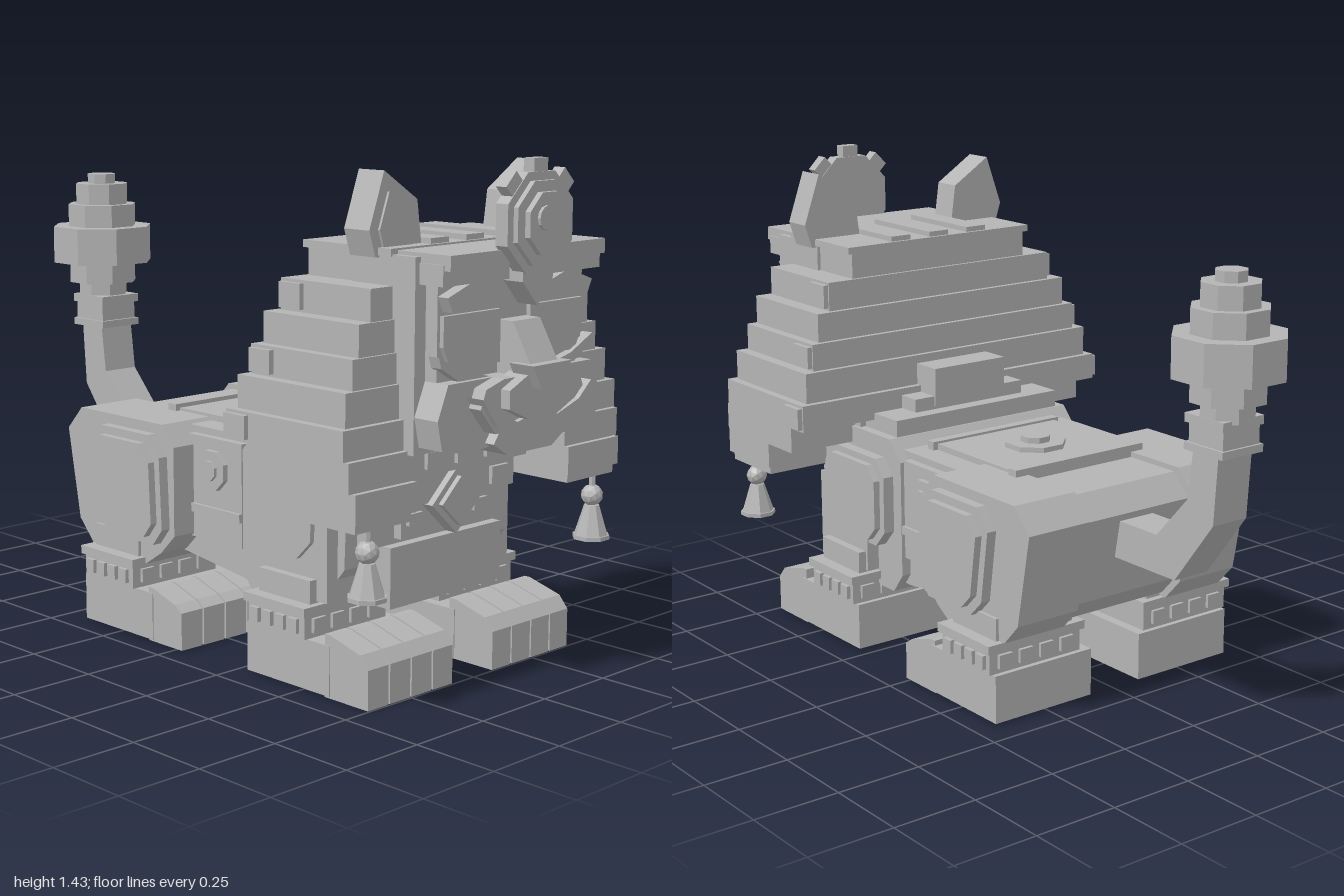
import * as THREE from 'three';

const stone = new THREE.MeshStandardMaterial({ color: 0xb4b4b4, flatShading: true });
stone.name = 'stone grey';

export function createModel() {
  const model = new THREE.Group();
  model.name = 'guardianLion';

  const add = (name, geometry) => {
    const mesh = new THREE.Mesh(geometry, stone);
    mesh.name = name;
    model.add(mesh);
    return mesh;
  };
  // Box given by its limits
  const box = (name, x0, x1, y0, y1, z0, z1) => add(name,
    new THREE.BoxGeometry(x1 - x0, y1 - y0, z1 - z0).translate((x0 + x1) / 2, (y0 + y1) / 2, (z0 + z1) / 2));
  const pair = (name, x0, x1, ...rest) => {
    box(name + 'Left', x0, x1, ...rest);
    box(name + 'Right', -x1, -x0, ...rest);
  };
  const extrude = (points, depth) => new THREE.ExtrudeGeometry(
    new THREE.Shape(points.map(([a, b]) => new THREE.Vector2(a, b))), { depth, bevelEnabled: false });
  // Outline in (x, y), running from z0 to z1
  const front = (name, points, z0, z1) => add(name, extrude(points, z1 - z0).translate(0, 0, z0));
  const frontPair = (name, points, z0, z1) => {
    front(name + 'Left', points, z0, z1);
    front(name + 'Right', points.map(([x, y]) => [-x, y]), z0, z1);
  };
  // Outline in (z, y), running from x0 to x1
  const side = (name, points, x0, x1) => add(name, extrude(points, x1 - x0).rotateY(-Math.PI / 2).translate(x1, 0, 0));
  const sidePair = (name, points, x0, x1) => {
    side(name + 'Left', points, x0, x1);
    side(name + 'Right', points, -x1, -x0);
  };
  const shrink = (points, cx, cy, s) => points.map(([a, b]) => [cx + (a - cx) * s, cy + (b - cy) * s]);
  // Octagon with flat sides; r is the distance to a side
  const octagon = (cx, cy, r) => Array.from({ length: 8 }, (_, i) => {
    const a = (i + 0.5) * Math.PI / 4, q = r / Math.cos(Math.PI / 8);
    return [cx + q * Math.cos(a), cy + q * Math.sin(a)];
  });
  const octDrum = (name, r, y0, y1, z) => add(name,
    new THREE.CylinderGeometry(r / 0.924, r / 0.924, y1 - y0, 8).rotateY(Math.PI / 8).translate(0, (y0 + y1) / 2, z));

  // Hindquarters and haunches
  const haunch = [[-0.09, 0.64], [-0.46, 0.64], [-0.525, 0.57], [-0.475, 0.3], [-0.415, 0.235], [-0.17, 0.215], [-0.1, 0.26], [-0.04, 0.32], [-0.04, 0.58]];
  const thigh = [[-0.12, 0.61], [-0.33, 0.61], [-0.38, 0.55], [-0.35, 0.34], [-0.3, 0.29], [-0.1, 0.29], [-0.06, 0.34], [-0.07, 0.55]];
  sidePair('haunch', haunch, 0.19, 0.4);
  side('rump', shrink(haunch, -0.2, 0.42, 0.93), -0.2, 0.2);
  sidePair('thighPlate', thigh, 0.39, 0.43);
  sidePair('thighPanel', shrink(thigh, -0.21, 0.45, 0.85), 0.42, 0.452);

  // Torso and shoulders
  side('torso', [[0.3, 0.63], [-0.2, 0.63], [-0.2, 0.26], [-0.1, 0.25], [0.17, 0.215], [0.3, 0.215]], -0.3, 0.3);
  const shoulder = [[0.23, 0.66], [0.52, 0.66], [0.585, 0.58], [0.575, 0.33], [0.5, 0.24], [0.28, 0.19], [0.22, 0.19], [0.175, 0.25], [0.175, 0.6]];
  const upperArm = [[0.26, 0.6], [0.48, 0.6], [0.53, 0.54], [0.52, 0.39], [0.46, 0.33], [0.26, 0.33], [0.215, 0.38], [0.215, 0.55]];
  side('chest', shoulder, -0.33, 0.33);
  sidePair('shoulderPlate', upperArm, 0.32, 0.365);
  sidePair('shoulderPanel', shrink(upperArm, 0.37, 0.46, 0.86), 0.36, 0.385);
  box('chestPlate', -0.225, 0.225, 0.215, 0.385, 0.5, 0.645);
  box('chestFront', -0.37, 0.37, 0.24, 0.5, 0.3, 0.55);
  box('withers', -0.3, 0.3, 0.6, 0.71, 0.235, 0.5);
  box('witherStep', -0.2, 0.2, 0.7, 0.75, 0.28, 0.5);
  box('witherBlock', -0.13, 0.13, 0.72, 0.835, 0.275, 0.45);

  // Saddle
  box('saddleCloth', -0.325, 0.325, 0.31, 0.61, -0.06, 0.165);
  pair('saddleHem', 0.3, 0.335, 0.385, 0.41, -0.06, 0.165);
  box('saddle', -0.22, 0.22, 0.6, 0.648, -0.24, 0.165);
  box('saddleRailBack', -0.235, 0.235, 0.615, 0.66, -0.255, -0.22);
  box('saddleRailFront', -0.235, 0.235, 0.615, 0.655, 0.14, 0.17);
  octDrum('saddleBossBase', 0.085, 0.64, 0.663, -0.045);
  octDrum('saddleBoss', 0.042, 0.65, 0.68, -0.045);
  sidePair('sideBoss', octagon(0.05, 0.52, 0.056), 0.32, 0.342);
  sidePair('sideBossCentre', octagon(0.05, 0.52, 0.028), 0.335, 0.352);

  // Feet with four toes, ankles and studs
  for (const [name, x0, x1, back, heel, toe, high] of [['front', 0.08, 0.415, 0.285, 0.605, 0.745, 0.175], ['hind', 0.09, 0.43, -0.415, -0.105, 0.02, 0.16]]) {
    pair(name + 'Foot', x0, x1, 0.005, 0.145, back, heel);
    const w = (x1 - x0) / 4;
    for (let i = 0; i < 4; i++) {
      const a = x0 + i * w;
      sidePair(name + 'Toe' + i, [[heel - 0.02, 0], [toe, 0], [toe, 0.11], [toe - 0.03, high - 0.03], [heel, high], [heel - 0.02, high]], a + 0.003, a + w - 0.003);
    }
    const z0 = back + 0.005, z1 = back + 0.245, a0 = x0 + 0.03, a1 = x1 + 0.01;
    pair(name + 'Leg', a0 + 0.02, a1 - 0.03, 0.13, 0.3, z0 + 0.02, z1 - 0.02);
    pair(name + 'Ankle', a0, a1, 0.145, 0.215, z0 + 0.01, z1 - 0.01);
    pair(name + 'AnkleRim', a0 - 0.01, a1 + 0.01, 0.21, 0.235, z0, z1);
    for (let i = 0; i < 4; i++) {
      const z = z0 + 0.025 + i * 0.05, x = a0 + 0.03 + i * (a1 - a0 - 0.06) / 3.6;
      pair(name + 'AnkleStud', a1, a1 + 0.012, 0.16, 0.2, z, z + 0.035);
      pair(name + 'AnkleStudFront', x, x + 0.045, 0.16, 0.2, z0, z1);
    }
  }

  // Stepped mane: half width, bottom, top, back, front
  const tiers = [
    [0.32, 1.11, 1.2, 0.425, 0.735], [0.41, 1.025, 1.11, 0.415, 0.742], [0.46, 0.94, 1.025, 0.4, 0.75],
    [0.49, 0.86, 0.94, 0.385, 0.758], [0.525, 0.77, 0.86, 0.37, 0.768], [0.55, 0.69, 0.77, 0.352, 0.785]];
  tiers.forEach(([w, y0, y1, z0, z1], i) => {
    box('maneTier' + i, -w, w, y0, y1, z0, z1);
    if (i % 2) pair('maneStud' + i, w - 0.02, w + 0.015, y0 + 0.008, y1 - 0.008, z0 + 0.005, z0 + 0.085);
  });
  box('neck', -0.32, 0.32, 0.5, 0.7, 0.4, 0.6);
  pair('maneLockUpper', 0.31, 0.545, 0.61, 0.69, 0.43, 0.8);
  pair('maneLockLower', 0.31, 0.535, 0.53, 0.61, 0.58, 0.815);
  pair('maneLockTip', 0.32, 0.525, 0.505, 0.53, 0.59, 0.805);
  box('maneCap', -0.335, 0.335, 1.185, 1.205, 0.42, 0.74);
  for (const x of [-0.14, 0, 0.14]) box('crownStrip', x - 0.035, x + 0.035, 1.2, 1.22, 0.43, 0.73);

  // Ears
  const ear = [[0.17, 1.18], [0.19, 1.32], [0.315, 1.4], [0.368, 1.25], [0.345, 1.18]];
  frontPair('ear', ear, 0.605, 0.695);
  frontPair('innerEar', shrink(ear, 0.28, 1.25, 0.64), 0.69, 0.702);

  // Head, forehead and face
  box('head', -0.33, 0.33, 0.68, 1.19, 0.6, 0.82);
  box('forehead', -0.315, 0.315, 1.12, 1.175, 0.6, 0.9);
  box('foreheadBrim', -0.31, 0.31, 1.16, 1.2, 0.7, 0.92);
  box('face', -0.29, 0.29, 0.85, 1.12, 0.7, 0.86);
  frontPair('brow', [[0.04, 1.05], [0.27, 1.05], [0.29, 1.09], [0.19, 1.125], [0.06, 1.085]], 0.85, 0.895);
  frontPair('eyelid', [[0.06, 0.9], [0.25, 0.9], [0.28, 0.96], [0.28, 1.04], [0.06, 1.04]], 0.85, 0.873);
  frontPair('whiskerFold', [[0.07, 0.86], [0.22, 0.895], [0.31, 0.94], [0.3, 0.91], [0.2, 0.85]], 0.85, 0.885);
  frontPair('cheek', [[0.02, 0.7], [0.21, 0.68], [0.31, 0.7], [0.328, 0.78], [0.29, 0.87], [0.02, 0.87]], 0.78, 0.9);
  front('muzzle', [[-0.15, 0.73], [0.15, 0.73], [0.21, 0.8], [0.19, 0.85], [0.12, 0.87], [-0.12, 0.87], [-0.19, 0.85], [-0.21, 0.8]], 0.85, 0.94);
  front('snout', octagon(0, 0, 0.06).map(([x, y]) => [x * 2.2, 0.82 + y]), 0.9, 0.97);
  frontPair('moustache', [[0, 0.775], [0.08, 0.755], [0.17, 0.785], [0.22, 0.83], [0.16, 0.75], [0.08, 0.735], [0, 0.755]], 0.9, 0.955);
  front('chin', [[-0.09, 0.665], [0.09, 0.665], [0.145, 0.7], [0.12, 0.735], [-0.12, 0.735], [-0.145, 0.7]], 0.7, 0.93);
  // Sloping nose bridge and nose tip
  side('noseBridge', [[0.84, 1.01], [0.91, 1.01], [0.985, 0.88], [0.84, 0.86]], -0.055, 0.055);
  front('noseTip', [[-0.04, 0.84], [0.04, 0.84], [0.078, 0.905], [-0.078, 0.905]], 0.92, 1);

  // Medallion on the forehead
  front('medallion', octagon(0, 1.265, 0.13), 0.91, 0.95);
  front('medallionRing', octagon(0, 1.265, 0.108), 0.945, 0.965);
  front('medallionFace', octagon(0, 1.265, 0.08), 0.96, 0.982);
  add('medallionPearl', new THREE.CylinderGeometry(0.032, 0.032, 0.012, 12).rotateX(Math.PI / 2).translate(-0.02, 1.28, 0.985));
  for (const a of [-Math.PI / 4, 0, Math.PI / 4]) {
    add('medallionRay', new THREE.BoxGeometry(0.055, 0.06, 0.035).translate(0, 0.135, 0).rotateZ(a).translate(0, 1.265, 0.93));
  }
  front('medallionPendant', [[0, 1.05], [0.06, 1.115], [0.06, 1.15], [-0.06, 1.15], [-0.06, 1.115]], 0.88, 0.945);

  // Collar bands, studs and diamond
  box('collarTop', -0.265, 0.265, 0.58, 0.66, 0.5, 0.7);
  box('collarMiddle', -0.26, 0.26, 0.49, 0.578, 0.5, 0.66);
  box('collarWide', -0.285, 0.285, 0.385, 0.495, 0.5, 0.615);
  box('collarLow', -0.18, 0.18, 0.4, 0.488, 0.5, 0.64);
  for (const x of [-0.12, 0, 0.12]) box('collarStud', x - 0.036, x + 0.036, 0.6, 0.645, 0.69, 0.712);
  pair('collarStudMiddle', 0.155, 0.225, 0.505, 0.555, 0.65, 0.672);
  pair('collarStudLow', 0.105, 0.16, 0.435, 0.468, 0.63, 0.652);
  const diamond = [[0, 0.395], [0.1, 0.487], [0, 0.58], [-0.1, 0.487]];
  front('diamond', diamond, 0.6, 0.68);
  front('diamondCentre', shrink(diamond, 0, 0.487, 0.75), 0.67, 0.695);

  // Bells under the mane
  for (const s of [-1, 1]) {
    const x = s * 0.46, z = 0.785;
    add('bellCord', new THREE.CylinderGeometry(0.01, 0.01, 0.07, 6).translate(x, 0.49, z));
    add('bellBead', new THREE.IcosahedronGeometry(0.032, 1).translate(x, 0.445, z));
    add('bell', new THREE.CylinderGeometry(0.022, 0.05, 0.09, 8).rotateY(Math.PI / 8).translate(x, 0.372, z));
    add('bellRim', new THREE.CylinderGeometry(0.054, 0.054, 0.012, 8).rotateY(Math.PI / 8).translate(x, 0.325, z));
  }

  // Tail and its layered tuft
  side('tail', [[-0.45, 0.54], [-0.65, 0.54], [-0.77, 0.67], [-0.79, 0.83], [-0.885, 0.83], [-0.87, 0.62], [-0.725, 0.43], [-0.45, 0.43]], -0.06, 0.06);
  box('tailCollar', -0.065, 0.065, 0.825, 0.895, -0.905, -0.775);
  box('tailCollarRim', -0.073, 0.073, 0.885, 0.91, -0.912, -0.765);
  box('tailCollarBase', -0.073, 0.073, 0.81, 0.832, -0.912, -0.765);
  [[0.072, 0.9, 0.96], [0.1, 0.95, 1.02], [0.148, 1.015, 1.13], [0.102, 1.125, 1.2], [0.078, 1.195, 1.265], [0.042, 1.26, 1.295]]
    .forEach(([r, y0, y1], i) => octDrum('tailTuft' + i, r, y0, y1, -0.852));

  return model;
}
